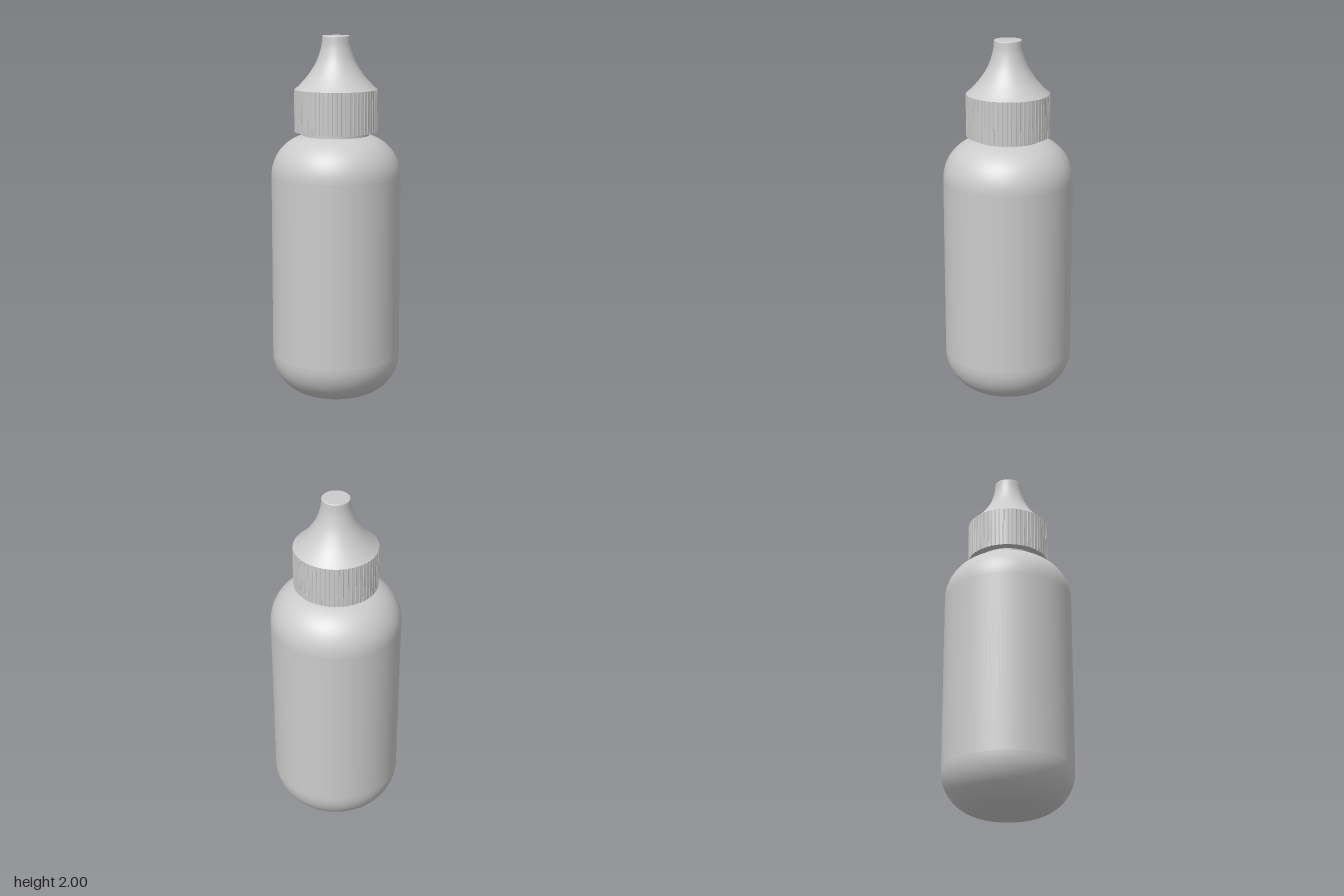
import * as THREE from 'three';

const SEGMENTS = 96;
const material = new THREE.MeshStandardMaterial({ color: 0xcccccc });

// Revolves runs of [radius, height]; each run is smooth, breaks between runs stay sharp
function turned(name, ...runs) {
  const group = new THREE.Group();
  group.name = name;
  for (const run of runs) {
    const points = run.map(([r, y]) => new THREE.Vector2(r, y));
    const mesh = new THREE.Mesh(new THREE.LatheGeometry(points, SEGMENTS), material);
    mesh.name = name + 'Surface';
    group.add(mesh);
  }
  return group;
}

// Points along a circular arc in the profile plane
function arc(cx, cy, radius, from, to, steps = 16) {
  return Array.from({ length: steps + 1 }, (_, i) => {
    const a = from + (to - from) * i / steps;
    return [cx + radius * Math.cos(a), cy + radius * Math.sin(a)];
  });
}

export function createModel() {
  const model = new THREE.Group();
  model.name = 'dropperBottle';

  // Bottle with flat base, rounded foot and rounded shoulder
  const R = 0.355, bend = 0.225, neckR = 0.18;
  const shoulderEnd = Math.acos((neckR - (R - bend)) / bend);
  const shoulder = arc(R - bend, 1.24, bend, 0, shoulderEnd);
  model.add(turned('bottle',
    [[0, 0], [R - bend, 0]],
    arc(R - bend, bend, bend, -Math.PI / 2, 0),
    [[R, bend], [R, 1.24]],
    shoulder));

  // Short neck between the shoulder and the cap
  model.add(turned('neck', [[neckR, shoulder.at(-1)[1]], [neckR, 1.485]]));

  // Cap collar with its underside and top edge
  const capR = 0.225, capLow = 1.48, capHigh = 1.71;
  model.add(turned('capCollar',
    [[neckR - 0.01, capLow], [capR, capLow]],
    [[capR, capLow], [capR, capHigh]]));

  // Grip ridges around the collar
  const ridgeCount = 60;
  const ridgeGeometry = new THREE.CylinderGeometry(0.005, 0.005, capHigh - capLow, 8);
  const ridges = new THREE.Group();
  ridges.name = 'gripRidges';
  for (let i = 0; i < ridgeCount; i++) {
    const a = i / ridgeCount * Math.PI * 2;
    const ridge = new THREE.Mesh(ridgeGeometry, material);
    ridge.name = 'gripRidge';
    ridge.position.set(0.223 * Math.sin(a), (capLow + capHigh) / 2, 0.223 * Math.cos(a));
    ridge.rotation.y = a;
    ridges.add(ridge);
  }
  model.add(ridges);

  // Flared nozzle with a softly rounded flat tip
  const flare = new THREE.SplineCurve([
    [capR, capHigh], [0.196, 1.737], [0.15, 1.79], [0.107, 1.86], [0.082, 1.935], [0.075, 1.994],
  ].map(([r, y]) => new THREE.Vector2(r, y))).getPoints(30).map(p => [p.x, p.y]);
  model.add(turned('nozzle',
    flare,
    arc(0.069, 1.994, 0.006, 0, Math.PI / 2, 5),
    [[0.069, 2], [0, 2]]));

  return model;
}
